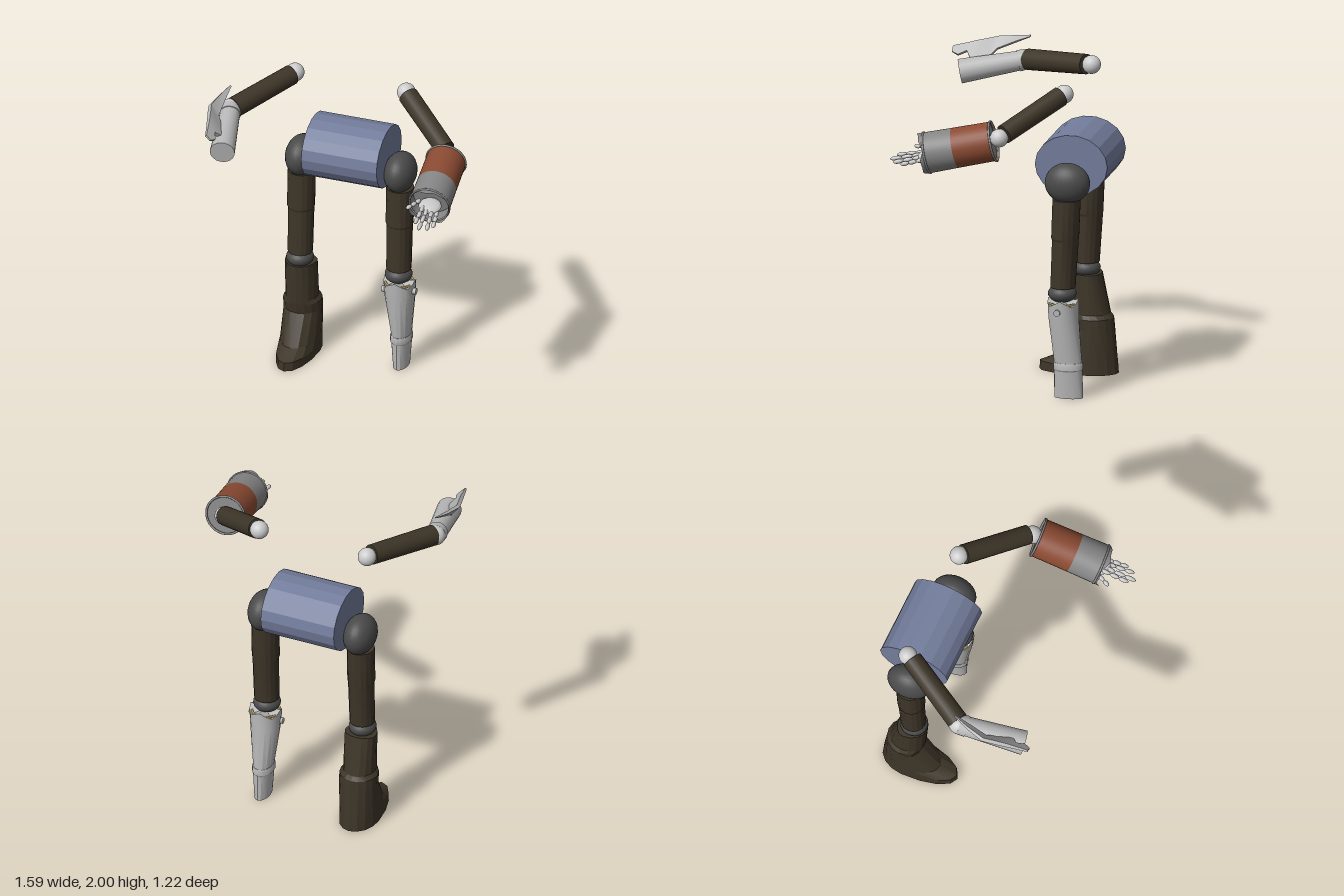
import * as THREE from 'three';
import { toCreasedNormals } from 'three/addons/utils/BufferGeometryUtils.js';

const mat = (color, side = THREE.FrontSide) => new THREE.MeshStandardMaterial({ color, side });
const leather = mat(0x3d3528), joint = mat(0x4a4a4a), cloth = mat(0x737d9c);
const silver = mat(0xb8b8b8, THREE.DoubleSide), bone = mat(0xcccccc), tin = mat(0x858585, THREE.DoubleSide);
const rust = mat(0x8a4a32, THREE.DoubleSide), brass = mat(0xb09a50);
const V = (x, y, z) => new THREE.Vector3(x, y, z);

export function createModel() {
  const model = new THREE.Group();

  function add(name, geometry, material, parent = model) {
    const mesh = new THREE.Mesh(geometry, material);
    mesh.name = name;
    parent.add(mesh);
    return mesh;
  }

  function ball(name, p, rx, ry, rz, material) {
    const m = add(name, new THREE.SphereGeometry(1, 24, 16), material);
    m.position.copy(p);
    m.scale.set(rx, ry, rz);
    return m;
  }

  // aligns an object's y axis with the line from a to b, centred between them
  function align(obj, a, b) {
    obj.position.copy(a).lerp(b, 0.5);
    obj.quaternion.setFromUnitVectors(V(0, 1, 0), b.clone().sub(a).normalize());
    return obj;
  }

  function strut(name, a, b, ra, rb, material, sides = 20) {
    const g = new THREE.CylinderGeometry(rb, ra, a.distanceTo(b), sides);
    return align(add(name, g, material), a, b);
  }

  // skins closed rings of points listed from top to bottom, with capped ends
  function loft(rings, crease = 0.5) {
    const n = rings[0].length, pos = [], idx = [];
    rings.flat().forEach(p => pos.push(p.x, p.y, p.z));
    for (let r = 0; r < rings.length - 1; r++) {
      for (let i = 0; i < n; i++) {
        const a = r * n + i, b = r * n + (i + 1) % n;
        idx.push(a, b, a + n, b, b + n, a + n);
      }
    }
    [0, rings.length - 1].forEach((r, end) => {
      const c = rings[r].reduce((s, p) => s.add(p), V(0, 0, 0)).divideScalar(n);
      const k = pos.length / 3;
      pos.push(c.x, c.y, c.z);
      for (let i = 0; i < n; i++) {
        const a = r * n + i, b = r * n + (i + 1) % n;
        idx.push(k, ...(end ? [a, b] : [b, a]));
      }
    });
    const g = new THREE.BufferGeometry();
    g.setAttribute('position', new THREE.Float32BufferAttribute(pos, 3));
    g.setIndex(idx);
    return toCreasedNormals(g, crease);
  }

  // horizontal oval around (cx, zc) reaching back to zb and forward to zf
  function oval(cx, y, w, zb, zf, zc = (zb + zf) / 2, wave = 0) {
    return Array.from({ length: 16 }, (_, i) => {
      const a = i / 16 * Math.PI * 2, s = Math.sin(a);
      return V(cx + w * Math.cos(a), y + wave * Math.cos(4 * a), zc + s * (s > 0 ? zf - zc : zc - zb));
    });
  }

  // hips
  const hips = add('hips', new THREE.CylinderGeometry(0.19, 0.19, 0.485, 18).rotateZ(Math.PI / 2), cloth);
  cloth.flatShading = true;
  hips.scale.z = 1.19;
  hips.position.set(-0.118, 1.43, -0.385);

  // both upper legs with their ball joints
  for (const [side, x] of [['right', -0.435], ['left', 0.2]]) {
    ball(side + 'HipJoint', V(x, 1.34, -0.38), 0.098, 0.125, 0.14, joint);
    ball(side + 'KneeJoint', V(x, 0.65, -0.348), 0.084, 0.056, 0.087, joint);
    add(side + 'Thigh', loft([
      oval(x, 1.24, 0.085, -0.462, -0.288),
      oval(x, 1.0, 0.085, -0.452, -0.28),
      oval(x, 0.985, 0.08, -0.45, -0.285),
      oval(x, 0.69, 0.077, -0.43, -0.275),
    ], 0.3), leather);
  }

  // boot: [y, half width, back z, front z]
  add('rightBoot', loft([
    [0.62, 0.1, -0.445, -0.26], [0.37, 0.1, -0.5, -0.272], [0.345, 0.12, -0.518, -0.275],
    [0.28, 0.12, -0.524, -0.29], [0.1, 0.12, -0.542, -0.17], [0.055, 0.12, -0.546, -0.06], [0, 0.12, -0.55, -0.055],
  ].map(([y, w, zb, zf]) => oval(-0.435, y, w, zb, zf, Math.min(-0.38, (zb + zf) / 2))), 0.3), leather);

  // artificial left shin with a jagged collar, ankle ring and stump foot
  add('leftShin', loft([
    oval(0.205, 0.6, 0.1, -0.452, -0.26, undefined, 0.02),
    oval(0.205, 0.5, 0.094, -0.452, -0.265),
    oval(0.205, 0.22, 0.06, -0.472, -0.298),
  ], 0.45), silver);
  add('leftAnkleRing', loft([
    oval(0.205, 0.222, 0.062, -0.474, -0.296), oval(0.205, 0.21, 0.066, -0.478, -0.293),
    oval(0.205, 0.18, 0.066, -0.478, -0.293), oval(0.205, 0.17, 0.06, -0.472, -0.298),
  ]), silver);
  add('leftFoot', loft([oval(0.205, 0.175, 0.06, -0.476, -0.298), oval(0.205, 0, 0.045, -0.478, -0.3)]), silver);
  const collar = add('collarTrim', new THREE.TorusGeometry(0.086, 0.007, 6, 24).rotateX(Math.PI / 2), brass);
  collar.position.set(0.203, 0.593, -0.355);
  for (const [x, y] of [[0.108, 0.53], [0.305, 0.55]]) {
    strut('shinBolt', V(x - 0.012, y, -0.34), V(x + 0.012, y, -0.34), 0.02, 0.02, silver, 12);
  }

  // right arm
  ball('rightShoulderJoint', V(-0.475, 1.91, -0.37), 0.057, 0.057, 0.057, bone);
  strut('rightUpperArm', V(-0.487, 1.907, -0.335), V(-0.71, 1.855, 0.08), 0.062, 0.065, leather);
  ball('rightElbowJoint', V(-0.722, 1.853, 0.09), 0.062, 0.062, 0.062, bone);
  strut('rightElbowCuff', V(-0.722, 1.853, 0.09), V(-0.711, 1.842, 0.14), 0.063, 0.066, silver);
  strut('rightForearm', V(-0.711, 1.842, 0.14), V(-0.635, 1.775, 0.487), 0.061, 0.076, silver);

  // axe blade: [z, outer x, outer y, inner x, inner y, thickness]
  add('axeBlade', loft([
    [0.07, -0.737, 2.0, -0.728, 1.993, 0.008], [0.17, -0.766, 1.982, -0.735, 1.95, 0.018],
    [0.28, -0.788, 1.966, -0.74, 1.9, 0.022], [0.33, -0.775, 1.955, -0.7, 1.845, 0.024],
    [0.42, -0.75, 1.936, -0.66, 1.835, 0.024], [0.46, -0.74, 1.926, -0.7, 1.885, 0.02],
    [0.51, -0.728, 1.917, -0.675, 1.865, 0.016], [0.55, -0.718, 1.908, -0.69, 1.88, 0.012],
  ].map(([z, ox, oy, ix, iy, t]) => {
    const n = V(iy - oy, ox - ix, 0).normalize().multiplyScalar(t / 2);
    const o = V(ox, oy, z), i = V(ix, iy, z);
    return [o.clone().add(n), i.clone().add(n), i.clone().sub(n), o.clone().sub(n)];
  }), 0.3), silver);

  // left arm
  ball('leftShoulderJoint', V(0.242, 1.908, -0.37), 0.057, 0.057, 0.057, bone);
  strut('leftUpperArm', V(0.262, 1.897, -0.35), V(0.6, 1.73, -0.08), 0.062, 0.06, leather);
  ball('leftElbowJoint', V(0.62, 1.71, -0.055), 0.056, 0.056, 0.056, bone);

  // tin can forearm, open at the hand end
  const can = new THREE.Group();
  can.name = 'canForearm';
  model.add(can);
  const back = V(0.625, 1.69, -0.02), front = V(0.664, 1.598, 0.405);
  align(can, back, front);
  const len = back.distanceTo(front), h = len / 2;
  const band = add('rustBand', new THREE.CylinderGeometry(0.123, 0.121, len * 0.55, 32, 1, true), rust, can);
  band.position.y = -h + len * 0.275;
  const shell = new THREE.CylinderGeometry(0.126, 0.123, len * 0.45, 32, 1, true);
  const p = shell.attributes.position;
  for (let i = 0; i < p.count; i++) { // ragged cut edge
    const a = Math.atan2(p.getZ(i), p.getX(i));
    if (p.getY(i) > 0) p.setY(i, p.getY(i) + 0.012 * Math.sin(3 * a) + 0.006 * Math.cos(7 * a));
  }
  shell.computeVertexNormals();
  add('canShell', shell, tin, can).position.y = h - len * 0.225;
  add('canBottom', new THREE.CircleGeometry(0.12, 32).rotateX(Math.PI / 2), tin, can).position.y = -h + 0.012;
  add('canInnerWall', new THREE.CircleGeometry(0.12, 32).rotateX(-Math.PI / 2), tin, can).position.y = h - 0.1;
  for (const [y, r] of [[-h, 0.122], [h - 0.022, 0.125]]) {
    add('canRim', new THREE.TorusGeometry(r, 0.007, 8, 32).rotateX(Math.PI / 2), tin, can).position.y = y;
  }

  // bony hand: three knuckle segments per finger
  const palm = align(add('palm', new THREE.SphereGeometry(1, 16, 10), bone), V(0.655, 1.6, 0.3), V(0.668, 1.58, 0.44));
  palm.scale.set(0.07, 0.075, 0.025);
  const fingers = [
    [V(0.6, 1.62, 0.37), V(0.553, 1.612, 0.485)], [V(0.63, 1.6, 0.4), V(0.638, 1.572, 0.575)],
    [V(0.658, 1.59, 0.41), V(0.672, 1.553, 0.608)], [V(0.688, 1.58, 0.41), V(0.716, 1.545, 0.58)],
    [V(0.715, 1.572, 0.39), V(0.738, 1.54, 0.53)],
  ];
  for (const [a, b] of fingers) {
    for (let k = 0; k < 3; k++) {
      const s = a.clone().lerp(b, k / 3), e = a.clone().lerp(b, (k + 1) / 3);
      const seg = align(add('fingerBone', new THREE.SphereGeometry(1, 10, 8), bone), s, e);
      seg.scale.set(0.014, s.distanceTo(e) * 0.56, 0.014);
    }
  }
  return model;
}
